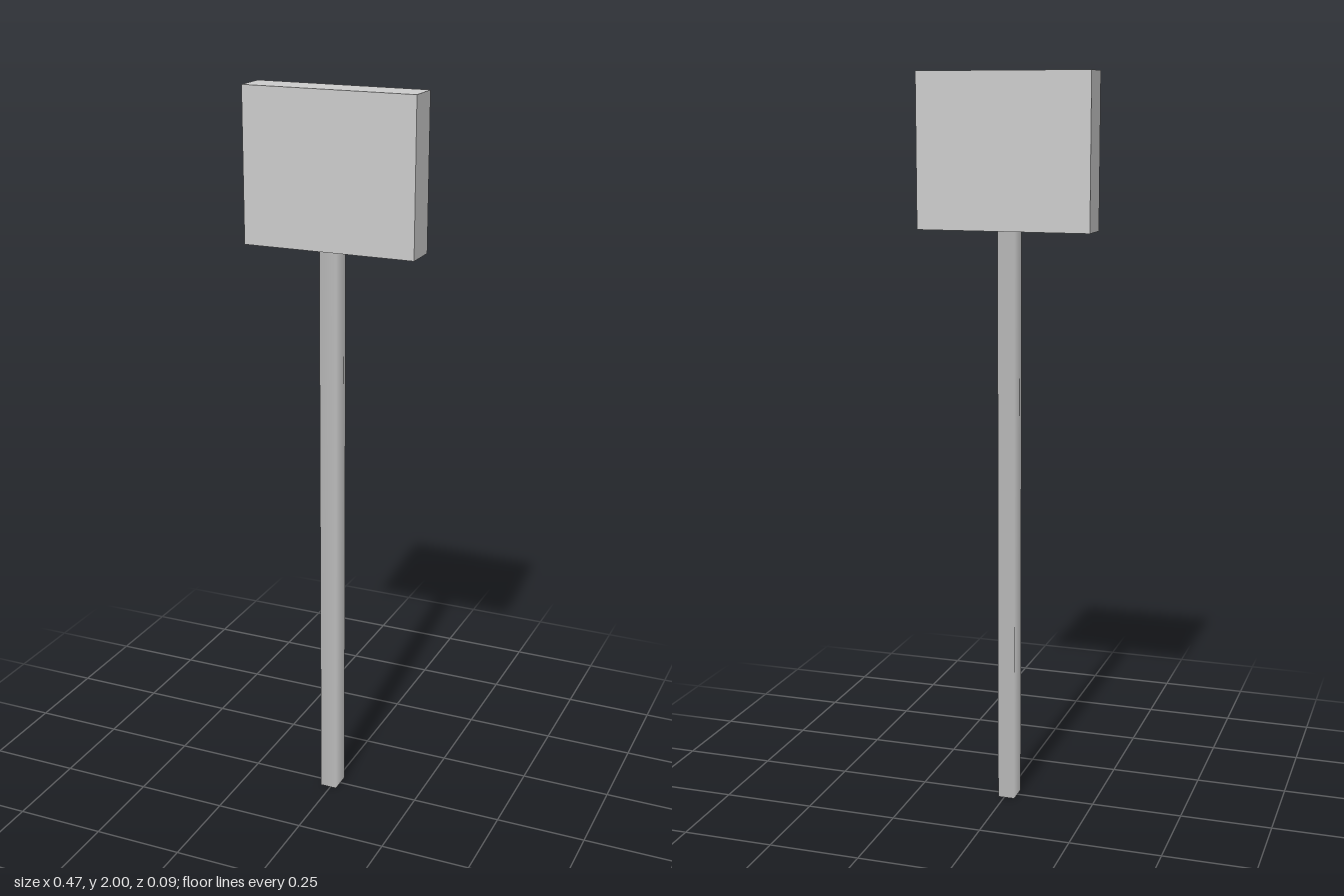
import * as THREE from 'three';

export function createModel() {
  const group = new THREE.Group();
  const headBottom = 1.59;

  // Solid rectangular sign board
  const board = new THREE.Mesh(
    new THREE.BoxGeometry(0.473, 2 - headBottom, 0.094),
    new THREE.MeshStandardMaterial({ color: 0xcccccc })
  );
  board.name = 'board';
  board.position.y = (2 + headBottom) / 2;
  group.add(board);

  // Open four-sided post with smooth corners
  const tube = new THREE.CylinderGeometry(Math.SQRT1_2, Math.SQRT1_2, 1, 4, 1, true, Math.PI / 4);
  tube.scale(0.047, headBottom, 0.063);
  const post = new THREE.Mesh(
    tube,
    new THREE.MeshStandardMaterial({ color: 0xcccccc, side: THREE.DoubleSide })
  );
  post.name = 'post';
  post.position.set(-0.006, headBottom / 2, 0.001);
  group.add(post);

  return group;
}
